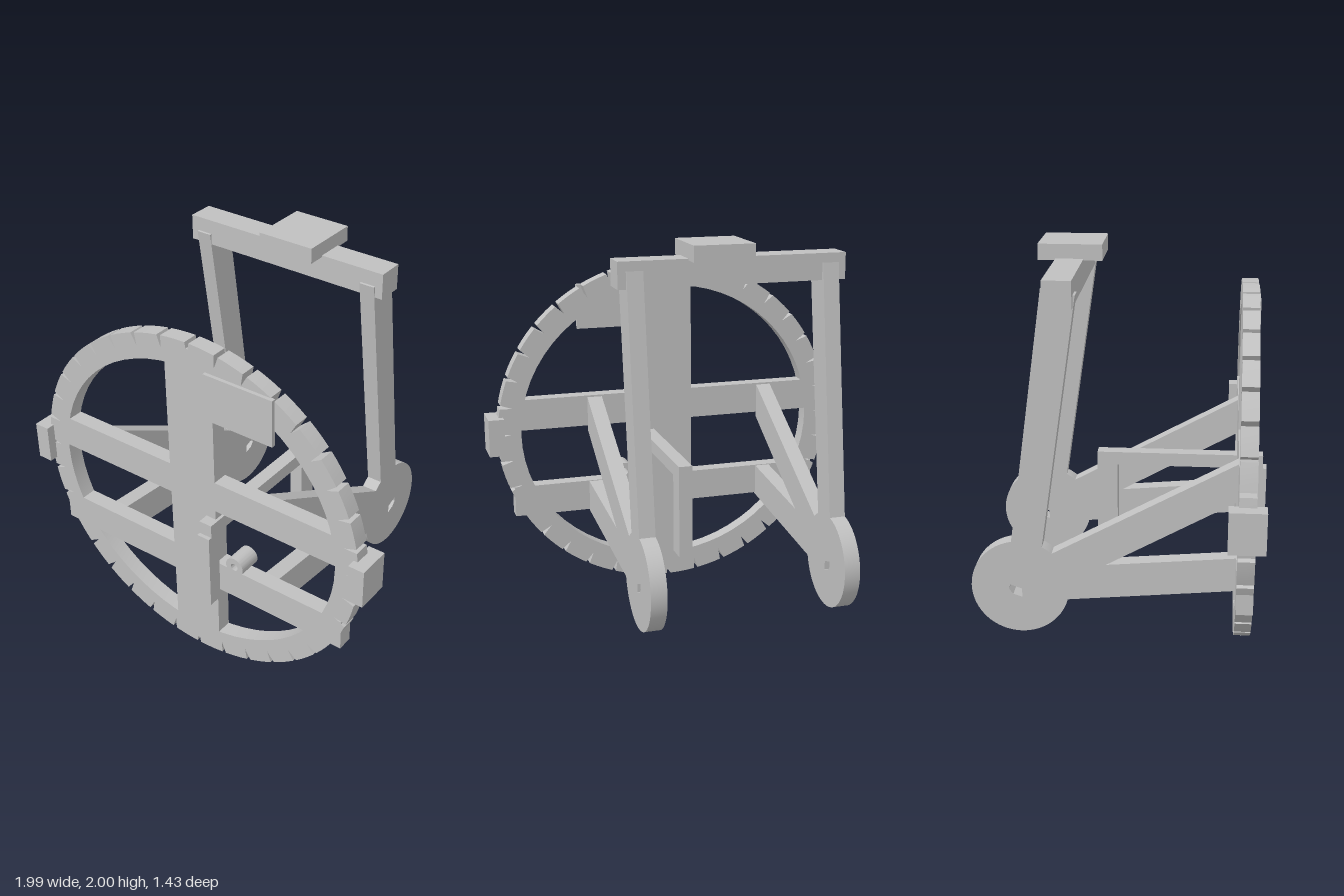
import * as THREE from 'three';
import { toCreasedNormals } from 'three/addons/utils/BufferGeometryUtils.js';

const grey = new THREE.MeshStandardMaterial({ color: 0xc0c0c0 });
grey.name = 'plain grey';

export function createModel() {
  const model = new THREE.Group();

  const add = (name, geometry, parent = model) => {
    const mesh = new THREE.Mesh(geometry, grey);
    mesh.name = name;
    parent.add(mesh);
    return mesh;
  };
  // Box given by its limits on each axis
  const box = (name, [x0, x1], [y0, y1], [z0, z1], parent) =>
    add(name, new THREE.BoxGeometry(x1 - x0, y1 - y0, z1 - z0)
      .translate((x0 + x1) / 2, (y0 + y1) / 2, (z0 + z1) / 2), parent);
  const polygon = (pts) => new THREE.Shape(pts.map(([a, b]) => new THREE.Vector2(a, b)));
  const extrude = (shape, depth) => toCreasedNormals(
    new THREE.ExtrudeGeometry(shape, { depth, bevelEnabled: false, curveSegments: 32 }), 0.3);

  // Wheel: oval rim with a V notch every ten degrees
  const wheel = new THREE.Group();
  wheel.name = 'wheel';
  model.add(wheel);
  const RX = 0.938, RY = 0.896, CY = 0.9, rad = Math.PI / 180;
  const rimPoint = (deg, inset = 0) =>
    [Math.cos(deg * rad) * (RX - inset), CY + Math.sin(deg * rad) * (RY - inset)];
  const outline = [];
  for (let a = 0; a < 360; a += 10) {
    outline.push(rimPoint(a - 0.7), rimPoint(a, 0.065), rimPoint(a + 0.7));
    outline.push(rimPoint(a + 3.5), rimPoint(a + 6.5));
  }
  const rim = polygon(outline);
  rim.holes.push(new THREE.Path().absellipse(0, CY, 0.815, 0.765, 0, Math.PI * 2, true));
  add('notchedRim', extrude(rim, 0.08).translate(0, 0, 0.56), wheel);
  const wz = [0.56, 0.64];
  box('verticalSpoke', [-0.135, 0.135], [0.035, 1.765], wz, wheel);
  box('upperCrossbar', [-0.85, 0.85], [0.92, 1.087], wz, wheel);
  box('lowerCrossbar', [-0.86, 0.86], [0.44, 0.605], wz, wheel);
  box('rightRimBlock', [-0.995, -0.915], [0.8, 1], [0.515, 0.685], wheel);
  box('leftRimBlock', [0.91, 0.993], [0.8, 1], [0.515, 0.685], wheel);
  box('facePlate', [0.1, 0.48], [1.44, 1.68], [0.635, 0.658], wheel);

  // Short hollow pin through the wheel
  const pin = new THREE.Shape().absarc(0.255, 0.645, 0.05, 0, Math.PI * 2);
  pin.holes.push(new THREE.Path().absarc(0.255, 0.645, 0.02, 0, Math.PI * 2, true));
  add('hollowPin', extrude(pin, 0.12).translate(0, 0, 0.537));

  // Hooked lever reaching back from the wheel
  const lever = new THREE.Group();
  lever.name = 'lever';
  model.add(lever);
  const lx = [0.08, 0.15];
  box('leverFrontLeg', lx, [0.39, 0.8], [0.64, 0.715], lever);
  box('leverArm', lx, [0.8, 0.87], [-0.165, 0.695], lever);
  box('leverBackLeg', lx, [0.39, 0.8], [-0.165, -0.06], lever);

  // Side frames, drawn as (z, y) profiles and extruded along x
  const disc = new THREE.Shape().absarc(-0.475, 0.415, 0.238, 0, Math.PI * 2);
  disc.holes.push(new THREE.Path(
    [[-0.525, 0.425], [-0.53, 0.4], [-0.51, 0.375], [-0.465, 0.36], [-0.468, 0.405]]
      .map(([a, b]) => new THREE.Vector2(a, b))));
  const profiles = {
    rearDisc: disc,
    upperStrut: polygon([[0.565, 1.08], [0.565, 0.893], [-0.06, 0.545], [-0.3, 0.41], [-0.4, 0.55]]),
    lowerStrut: polygon([[0.57, 0.602], [0.57, 0.432], [-0.3, 0.35], [-0.4, 0.515]]),
    upright: polygon([[-0.19, 1.855], [-0.345, 1.885], [-0.515, 0.64], [-0.53, 0.53],
      [-0.38, 0.53], [-0.367, 0.62]]),
  };
  for (const [name, x] of [['rightFrame', -0.6], ['leftFrame', 0.37]]) {
    const frame = new THREE.Group();
    frame.name = name;
    model.add(frame);
    for (const [part, shape] of Object.entries(profiles)) {
      add(part, extrude(shape, 0.08).rotateY(-Math.PI / 2).translate(x + 0.08, 0, 0), frame);
    }
  }

  // Top beam with its pad
  box('topBeam', [-0.64, 0.49], [1.8, 1.93], [-0.335, -0.2]);
  box('topPad', [-0.15, 0.15], [1.922, 2], [-0.42, -0.11]);

  return model;
}
